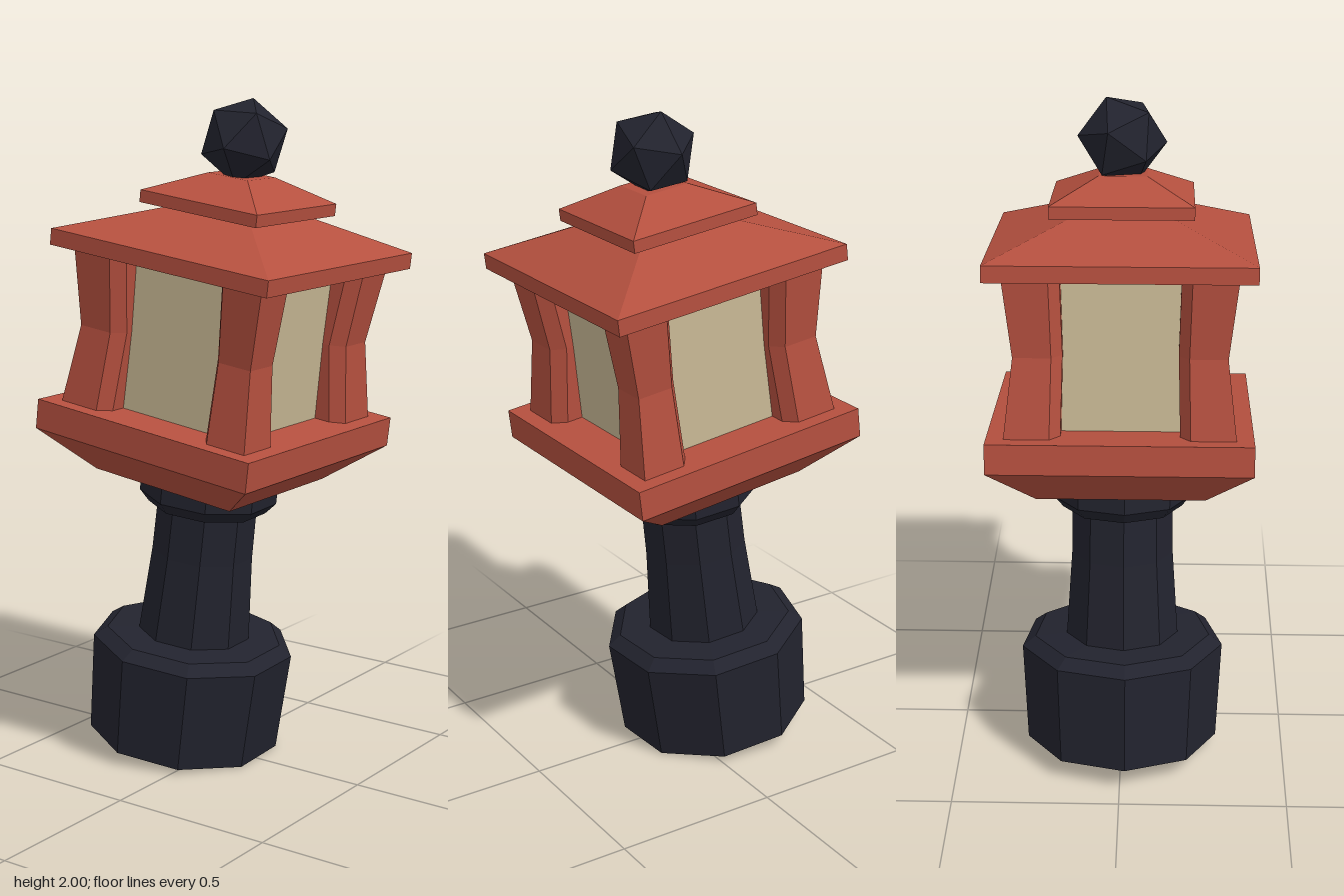
import * as THREE from 'three';

const red = new THREE.MeshStandardMaterial({ name: 'red lacquer', color: 0xb5503f });
const dark = new THREE.MeshStandardMaterial({ name: 'dark iron', color: 0x22232e });
const paper = new THREE.MeshStandardMaterial({ name: 'paper', color: 0xc9b995 });

// mesh with one normal per face
function part(name, geometry, material) {
  const flat = geometry.index ? geometry.toNonIndexed() : geometry;
  flat.computeVertexNormals();
  const mesh = new THREE.Mesh(flat, material);
  mesh.name = name;
  return mesh;
}

// square block that may taper, from y0 to y1, with half widths at both ends
function block(name, y0, half0, y1, half1, material) {
  const g = new THREE.CylinderGeometry(half1 * Math.SQRT2, half0 * Math.SQRT2, y1 - y0, 4);
  g.rotateY(Math.PI / 4).translate(0, (y0 + y1) / 2, 0);
  return part(name, g, material);
}

// nine-sided turned piece from [radius, height] pairs
function turned(name, profile, material) {
  const points = profile.map(([r, y]) => new THREE.Vector2(r, y));
  return part(name, new THREE.LatheGeometry(points, 9, 23 * Math.PI / 180), material);
}

// corner post with chamfered inner edges and a pinched waist
function cornerPost(y0, y1) {
  const outline = [[0.33, 0.33], [0.2, 0.33], [0.17, 0.29], [0.17, 0.17], [0.29, 0.17], [0.33, 0.2]];
  const shape = new THREE.Shape(outline.map(([x, y]) => new THREE.Vector2(x, y)));
  const g = new THREE.ExtrudeGeometry(shape, { depth: y1 - y0, steps: 2, bevelEnabled: false });
  const p = g.attributes.position;
  for (let i = 0; i < p.count; i++) {
    const middle = Math.abs(p.getZ(i) - (y1 - y0) / 2) < 0.01;
    if (!middle) continue;
    const pinch = (v) => v - (v > 0.25 ? 0.027 : 0.006);
    p.setXY(i, pinch(p.getX(i)), pinch(p.getY(i)));
  }
  g.rotateX(-Math.PI / 2).translate(0, y0, 0);
  return part('cornerPost', g, red);
}

export function createModel() {
  const model = new THREE.Group();
  model.name = 'lantern';

  // everything below the finial leans forward
  const body = new THREE.Group();
  body.name = 'leaningBody';
  body.position.set(0, 0.04, -0.14);
  body.rotation.x = 7.05 * Math.PI / 180;
  model.add(body);

  // foot, column and collar
  body.add(
    turned('foot', [[0, 0], [0.295, 0], [0.31, 0.305], [0.27, 0.335], [0, 0.345]], dark),
    turned('column', [[0.175, 0.3], [0.155, 0.6], [0.152, 0.8]], dark),
    turned('collar', [[0, 0.75], [0.18, 0.75], [0.21, 0.785], [0.21, 0.85], [0, 0.85]], dark),
  );

  // lower platform
  body.add(
    block('platformUnderside', 0.846, 0.245, 0.963, 0.38, red),
    block('platform', 0.963, 0.38, 1.052, 0.38, red),
  );

  // lamp box and its four posts
  body.add(block('paperPanels', 1.05, 0.24, 1.517, 0.24, paper));
  for (let i = 0; i < 4; i++) {
    const post = cornerPost(1.05, 1.517);
    post.rotation.y = i * Math.PI / 2;
    body.add(post);
  }

  // two-tier roof
  body.add(
    block('roofEave', 1.515, 0.38, 1.563, 0.38, red),
    block('roofSlope', 1.563, 0.38, 1.66, 0.12, red),
    block('upperEave', 1.657, 0.205, 1.693, 0.205, red),
    block('upperSlope', 1.693, 0.205, 1.757, 0.07, red),
  );

  // faceted finial, turned off axis
  const finial = part('finial', new THREE.IcosahedronGeometry(0.13, 0), dark);
  const yAxis = new THREE.Vector3(-0.048, 0.931, 0.364).normalize();
  const zAxis = new THREE.Vector3(0.752, 0.265, -0.602).cross(yAxis).normalize();
  const xAxis = yAxis.clone().cross(zAxis);
  finial.quaternion.setFromRotationMatrix(new THREE.Matrix4().makeBasis(xAxis, yAxis, zAxis));
  finial.position.set(0.003, 1.88, 0.083);
  model.add(finial);

  return model;
}
